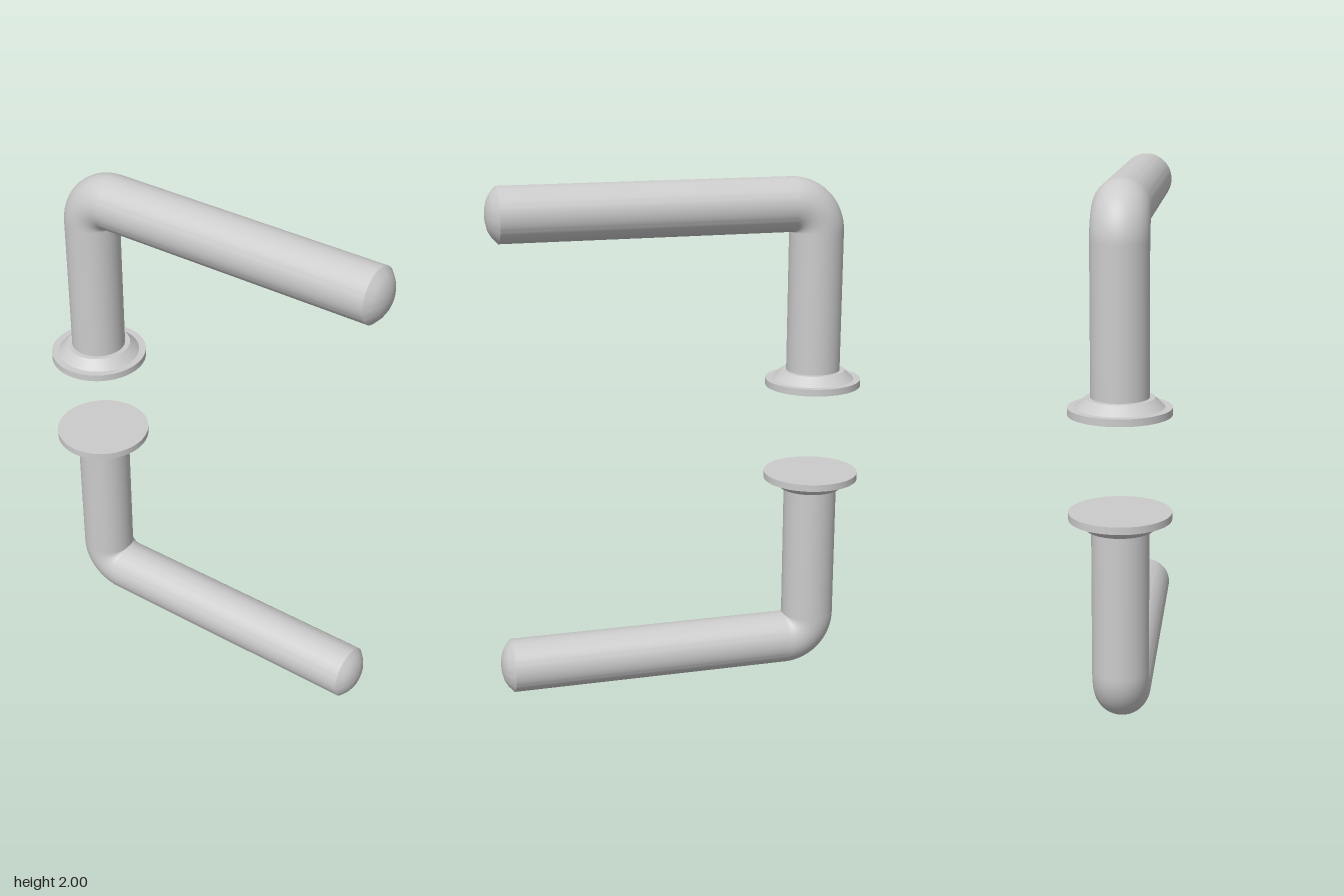
import * as THREE from 'three';
import { toCreasedNormals } from 'three/addons/utils/BufferGeometryUtils.js';

const R = 0.105; // rod radius, also the bend radius of its centre line
const POST_X = -0.543;
const ARM_Y = 0.895; // height of the arm above the mirror plane
const SEGMENTS = 64;

const material = new THREE.MeshStandardMaterial({ color: 0xcccccc });

function lathe(profile) {
  const points = profile.map(([r, y]) => new THREE.Vector2(r, y));
  return toCreasedNormals(new THREE.LatheGeometry(points, SEGMENTS), 0.6);
}

function part(name, geometry, x, y) {
  const mesh = new THREE.Mesh(geometry, material);
  mesh.name = name;
  mesh.position.set(x, y, 0);
  return mesh;
}

// One lever handle, with heights measured from the mirror plane
function createHandle(name) {
  const handle = new THREE.Group();
  handle.name = name;

  // Round base plate with a bevelled collar
  handle.add(part('rosette', lathe([
    [0, 0.18], [0.187, 0.18], [0.187, 0.207], [0.16, 0.207], [0.125, 0.242], [R, 0.242],
  ]), POST_X, 0));

  // Upright neck
  const neckBottom = 0.207;
  const neckTop = ARM_Y - R;
  handle.add(part('neck',
    new THREE.CylinderGeometry(R, R, neckTop - neckBottom, SEGMENTS, 1, true),
    POST_X, (neckTop + neckBottom) / 2));

  // Quarter bend with a tight inner corner
  const bend = new THREE.TorusGeometry(R, R, SEGMENTS, 24, Math.PI / 2);
  bend.rotateZ(Math.PI / 2);
  handle.add(part('bend', bend, POST_X + R, neckTop));

  // Horizontal grip with a domed end
  const grip = lathe([
    [R, POST_X + R], [R, 0.685], [0.082, 0.706], [0.06, 0.719], [0.03, 0.727], [0, 0.73],
  ]);
  grip.rotateZ(-Math.PI / 2);
  handle.add(part('grip', grip, 0, ARM_Y));
  return handle;
}

export function createModel() {
  const model = new THREE.Group();
  model.name = 'doorHandlePair';
  const upper = createHandle('upperHandle');
  const lower = createHandle('lowerHandle');
  upper.position.y = 1;
  lower.position.y = 1;
  lower.rotation.x = Math.PI; // half turn, same as mirroring this shape
  model.add(upper, lower);
  return model;
}
